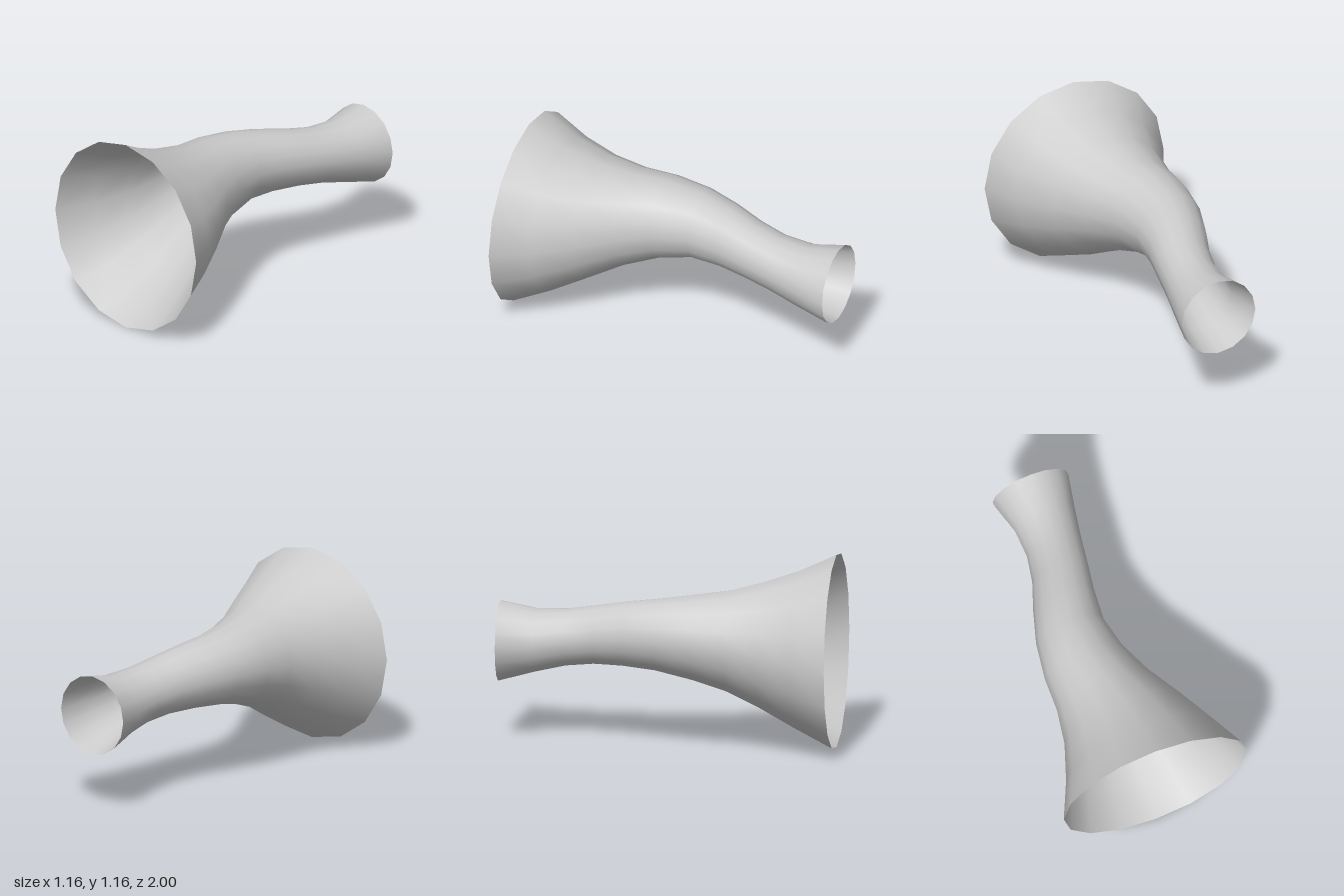
import * as THREE from 'three';
import { mergeVertices } from 'three/addons/utils/BufferGeometryUtils.js';

const SIDES = 16;

// Cross-sections from the wide mouth to the narrow end: [z, centre x, centre y, radius]
const RINGS = [
  [1.0, 0, 0.583, 0.582],
  [0.78, -0.005, 0.588, 0.475],
  [0.57, -0.027, 0.613, 0.38],
  [0.37, -0.073, 0.642, 0.302],
  [0.17, -0.118, 0.668, 0.255],
  [-0.05, -0.127, 0.68, 0.214],
  [-0.25, -0.088, 0.671, 0.192],
  [-0.43, -0.04, 0.649, 0.175],
  [-0.6, -0.01, 0.622, 0.171],
  [-0.79, 0.006, 0.594, 0.191],
  [-1.0, 0, 0.585, 0.24],
];

// Open cylinder whose rows are moved onto the cross-sections
function flaredTube() {
  const geometry = new THREE.CylinderGeometry(1, 1, 2, SIDES, RINGS.length - 1, true);
  const position = geometry.attributes.position;
  for (let i = 0; i < position.count; i++) {
    const [z, cx, cy, r] = RINGS[Math.floor(i / (SIDES + 1))];
    position.setXYZ(i, cx - r * position.getX(i), cy + r * position.getZ(i), z);
  }
  // Weld the seam so the shading stays smooth all round
  geometry.deleteAttribute('uv');
  geometry.deleteAttribute('normal');
  const welded = mergeVertices(geometry, 1e-4);
  welded.computeVertexNormals();
  return welded;
}

export function createModel() {
  const group = new THREE.Group();
  group.name = 'flaredHorn';
  const material = new THREE.MeshStandardMaterial({ color: 0xcccccc, side: THREE.DoubleSide });
  const horn = new THREE.Mesh(flaredTube(), material);
  horn.name = 'curvedTube';
  group.add(horn);
  return group;
}
